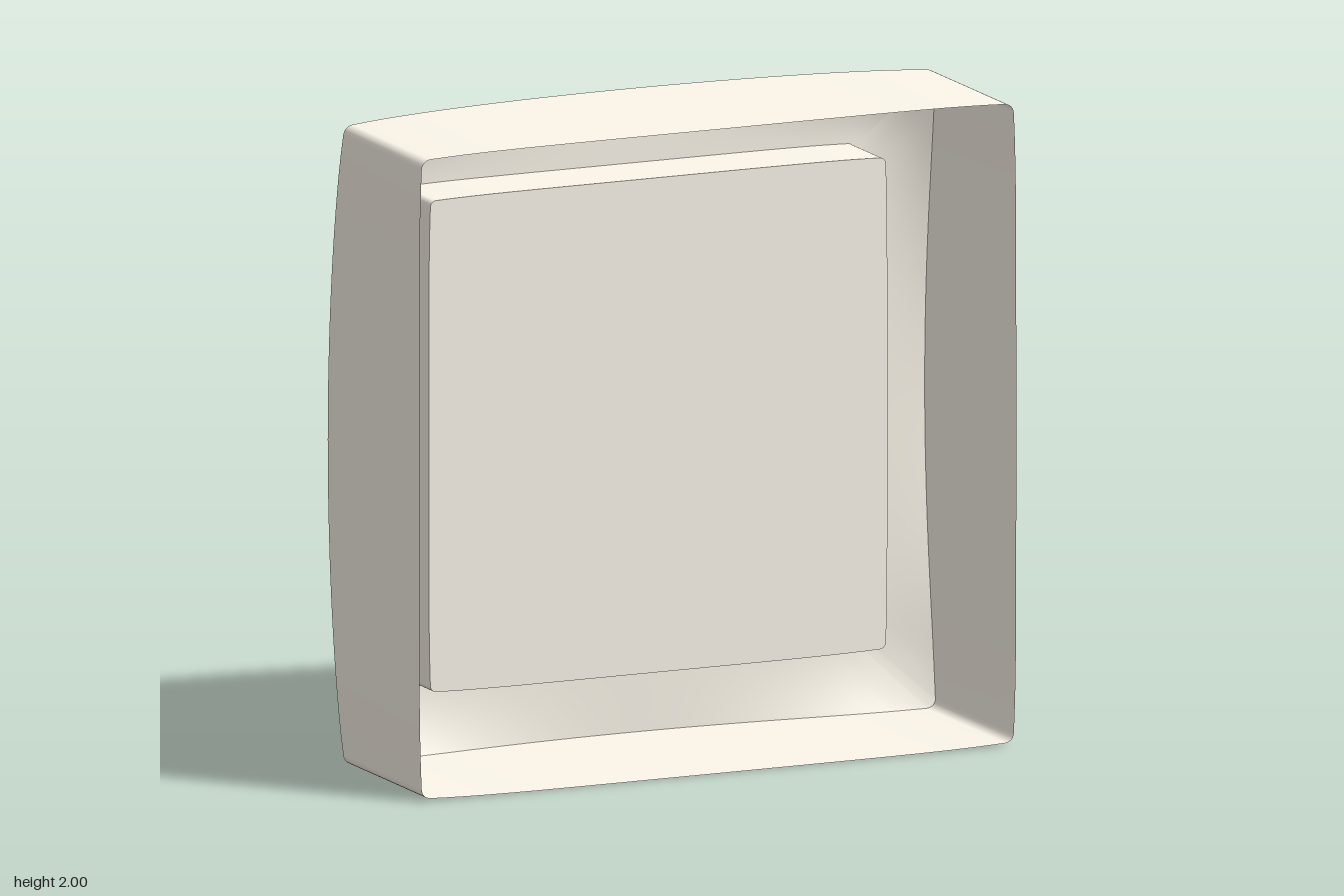
import * as THREE from 'three';

const FRONT = 0.33, BACK = -0.33, PANEL = -0.10, HOLE = 0.768;
const material = new THREE.MeshStandardMaterial({ color: 0xfcf6ea, side: THREE.DoubleSide });

// Counter-clockwise square outline with rounded corners and slightly bowed sides
function outline(half, radius, bow) {
  const points = [], sideSteps = 32, cornerSteps = 6;
  const c = half - bow - radius;
  for (let side = 0; side < 4; side++) {
    const local = [];
    for (let i = 0; i <= sideSteps; i++) {
      const u = (i / sideSteps) * 2 - 1;
      local.push(new THREE.Vector2(half - bow * u ** 6, u * c));
    }
    for (let i = 1; i < cornerSteps; i++) {
      const a = (i / cornerSteps) * Math.PI / 2;
      local.push(new THREE.Vector2(c + radius * Math.cos(a), c + radius * Math.sin(a)));
    }
    const turn = side * Math.PI / 2;
    local.forEach(p => points.push(p.rotateAround(new THREE.Vector2(), turn)));
  }
  return points;
}

// Skin through closed cross-sections of equal point count
function loft(name, rings) {
  const n = rings[0].length, index = [];
  for (let r = 0; r < rings.length - 1; r++) {
    for (let j = 0; j < n; j++) {
      const a = r * n + j, b = r * n + (j + 1) % n;
      index.push(a, a + n, b, b, a + n, b + n);
    }
  }
  const geometry = new THREE.BufferGeometry().setFromPoints(rings.flat());
  geometry.setIndex(index);
  geometry.computeVertexNormals();
  return named(name, geometry);
}

function named(name, geometry) {
  const mesh = new THREE.Mesh(geometry, material);
  mesh.name = name;
  return mesh;
}

// Back surface: flat at the recess, arced along the outer edges, blended without a mitre
function onBack(p) {
  const rise = v => (Math.max(0, Math.abs(v) - HOLE) / (1 - HOLE)) ** 2;
  const tx = rise(p.x), ty = rise(p.y);
  const drop = tx * p.y ** 2 + ty * p.x ** 2 - tx * ty;
  return new THREE.Vector3(p.x, p.y, BACK + 0.105 * drop);
}

export function createModel() {
  const group = new THREE.Group();
  group.name = 'shell';
  const outer = outline(1, 0.03, 0.008);
  const inner = outline(HOLE, 0.02, 0.005);
  const atDepth = (points, z) => points.map(p => new THREE.Vector3(p.x, p.y, z));

  // Side walls, open at the front
  group.add(loft('outerWall', [atDepth(outer, FRONT), outer.map(onBack)]));

  // Domed frame between the outer edge and the recess
  const frame = [], steps = 16;
  for (let i = 0; i <= steps; i++) {
    frame.push(outer.map((p, j) => onBack(p.clone().lerp(inner[j], i / steps))));
  }
  group.add(loft('backFrame', frame));

  // Recess in the back and its flat floor
  group.add(loft('recessWall', [atDepth(inner, BACK), atDepth(inner, PANEL)]));
  const panel = named('recessPanel', new THREE.ShapeGeometry(new THREE.Shape(inner)));
  panel.rotation.y = Math.PI;
  panel.position.z = PANEL;
  group.add(panel);

  group.position.y = 1;
  const model = new THREE.Group();
  model.add(group);
  return model;
}
